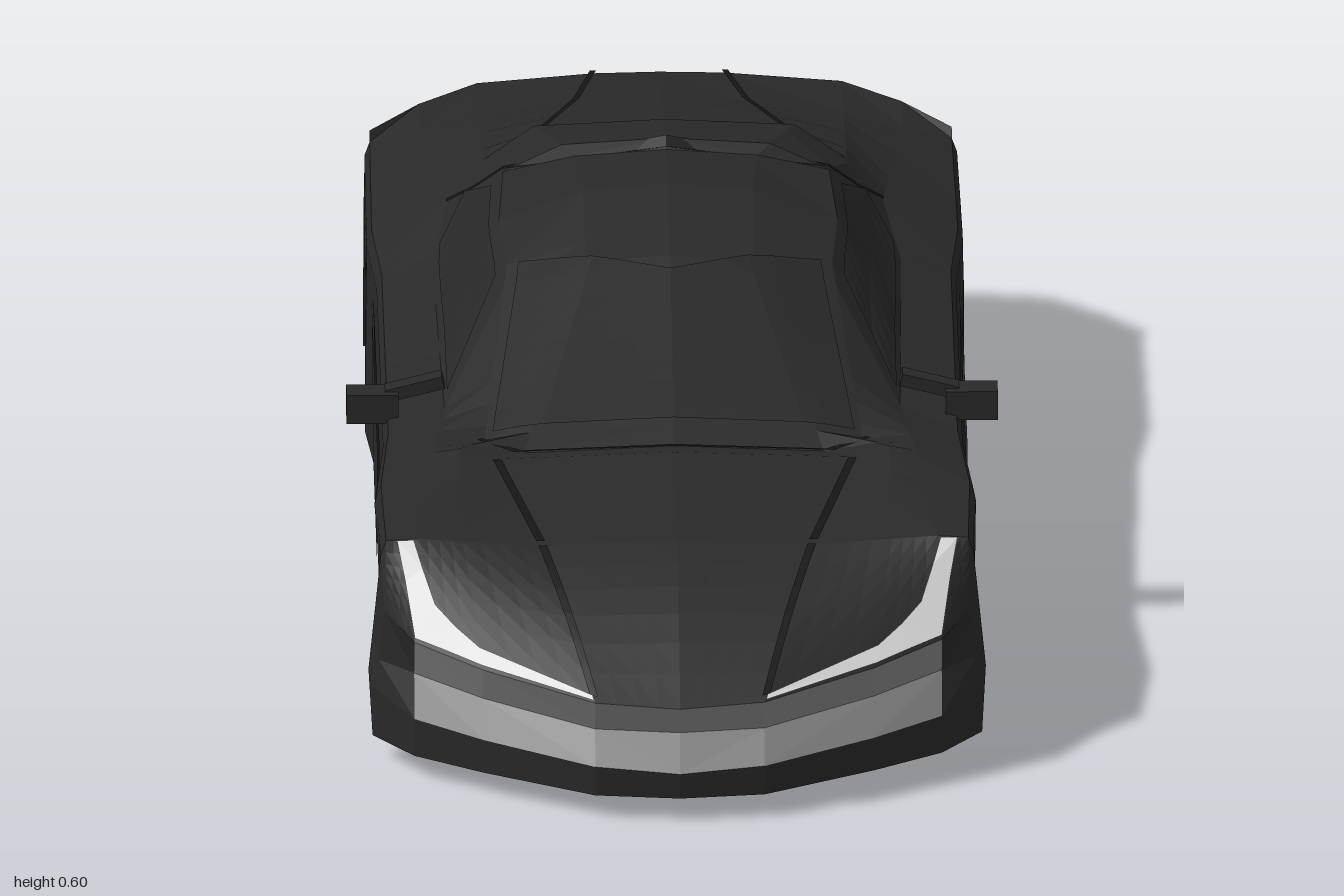
import * as THREE from 'three';

const mat = (name, color) => new THREE.MeshStandardMaterial({ name, color, side: THREE.DoubleSide });
const lerp = THREE.MathUtils.lerp;

// Lengthwise body lines as [z, x, y]
const ROOF = [[.705, .21, .342], [.47, .28, .39], [.42, .23, .38], [.05, .13, .545], [-.13, .13, .59],
  [-.33, .14, .565], [-.34, .16, .58], [-.49, .2, .55], [-.5, .2, .53], [-.82, .13, .455]];
const PILLAR = [[.705, .33, .35], [.45, .33, .4], [.38, .29, .385], [0, .25, .52], [-.13, .26, .54],
  [-.34, .25, .54], [-.45, .28, .5], [-.82, .28, .435]];
const BELT = [[.705, .4, .355], [.45, .37, .393], [.25, .35, .385], [-.28, .36, .41], [-.45, .335, .44], [-.82, .37, .412]];
const FENDER = [[.705, .447, .352], [.53, .452, .372], [.3, .437, .365], [-.3, .437, .383], [-.45, .45, .393], [-.82, .447, .39]];
const LINES = [ROOF, PILLAR, BELT, FENDER];
const AXLES = [.525, -.625];
const ARCH = [[.1749, .17], [.145, .29], [.06, .34], [0, .34]];

// Values of a [key, ...] list, sorted by falling key
function sample(list, key) {
  const i = Math.max(1, list.findIndex(p => p[0] <= key));
  const [a, b] = key < list[list.length - 1][0] ? list.slice(-2) : [list[i - 1], list[i]];
  const t = THREE.MathUtils.clamp((key - a[0]) / (b[0] - a[0]), 0, 1);
  return a.slice(1).map((v, k) => lerp(v, b[k + 1], t));
}
// Lower edge of the bodywork, rising over the wheels
function sill(z) {
  const c = AXLES.find(a => Math.abs(z - a) < .175);
  return c === undefined ? .06 : sample(ARCH, Math.abs(z - c))[0];
}
const mix = (a, b, t) => a.map((v, i) => lerp(v, b[i], t));
const along = (list, u) => {
  const i = Math.min(Math.floor(u), list.length - 2);
  return mix(list[i], list[i + 1], u - i);
};
const shift = (p, x, y, z) => [p[0] + x, p[1] + y, p[2] + z];
const range = (a, b, n) => Array.from({ length: n + 1 }, (_, i) => lerp(a, b, i / n));

// Half section: crown, roof, pillar, belt, fender, shoulder crease, sill
function section(z) {
  const s = LINES.map(l => [...sample(l, z), z]);
  const [x, y] = s[3];
  return [[0, s[0][1] + .01, z], ...s, [x + .008, y - .022, z], [x + .01, sill(z), z]];
}
const surf = (u, z) => along(section(z), u);

// Nose columns run in a bulge from the front wheel arch to the lip, tail columns to the deck edge
const lip = [[0, .19, 1], [.13, .195, .985], [.3, .212, .89], [.405, .23, .82], [.45, .25, .74]];
const edge = [[0, .43, -1], [.1, .43, -.995], [.28, .425, -.97], [.37, .42, -.9], [.447, .405, -.83]];
const noseAt = (u, t) => shift(mix(surf(u, .705), along(lip, u), t), 0, .018 * Math.sin(Math.PI * t) * (1 - u / 4), 0);
const deckAt = (u, t) => mix(surf(u, -.82), along(edge, u), t);
const tailAt = (u, y, dz) => {
  const p = along(edge, u);
  return [p[0], y, Math.min(p[2] + dz, -.82)];
};

// Flat-shaded sheet through rows of points, mirrored to both sides
function sheet(name, rows, material) {
  const pos = [];
  for (const s of [1, -1]) {
    const tri = (...ps) => (s > 0 ? ps : ps.reverse()).forEach(p => pos.push(p[0] * s, p[1], p[2]));
    for (let i = 0; i + 1 < rows.length; i++) for (let j = 0; j + 1 < rows[i].length; j++) {
      const a = rows[i][j], b = rows[i][j + 1], c = rows[i + 1][j + 1], d = rows[i + 1][j];
      tri(a, d, b);
      tri(b, d, c);
    }
  }
  const g = new THREE.BufferGeometry();
  g.setAttribute('position', new THREE.Float32BufferAttribute(pos, 3));
  return solid(name, g, material);
}
function solid(name, geometry, material, x = 0, y = 0, z = 0) {
  const g = geometry.index ? geometry.toNonIndexed() : geometry;
  g.computeVertexNormals();
  const m = new THREE.Mesh(g, material);
  m.name = name;
  m.position.set(x, y, z);
  return m;
}

export function createModel() {
  const paint = mat('body black', 0x292929), glass = mat('dark glass', 0x272727), trim = mat('black trim', 0x151515);
  const grille = mat('grille grey', 0x8a8a8a), lamp = mat('headlamp white', 0xdcdcdc), red = mat('tail lamp red', 0xaa3812);
  const panel = mat('panel grey', 0x5c5c5c), alloy = mat('wheel grey', 0x8f8f8f), tyreMat = mat('tyre black', 0x1e1e1e);
  const car = new THREE.Group();
  car.name = 'sportsCar';
  const add = (...a) => car.add(sheet(...a));

  // Main shell with wheel wells and floor
  const zs = LINES.flat().map(p => p[0]);
  for (const c of AXLES) for (const d of [.06, .145, .1749, .1751]) zs.push(c + d, c - d);
  const stations = [...new Set(zs)].sort((a, b) => b - a);
  add('bodyShell', stations.map(z => [...section(z), [.3, sill(z), z], [.3, .058, z], [0, .058, z]]), paint);

  // Nose: hood, recessed grille, chin and corners
  add('noseHood', range(0, 1, 6).map(t => range(0, 4, 16).map(u => noseAt(u, t))), paint);
  const mid = lip.map((p, i) => shift(p, 0, -.055 - .004 * i, -.04));
  const low = lip.map(([x, , z], i) => [x, .08 + .007 * i, z - .005]);
  mid[4] = [.458, .165, .73];
  low[4] = [.468, .12, .73];
  const chin = low.map(([x, , z]) => [x, .038, z - .005]);
  add('frontGrille', [lip, mid, low].map(r => r.slice(0, 4)), grille);
  add('bumperCorner', [lip, mid, low].map(r => r.slice(3)), paint);
  add('frontChin', [low, chin, chin.map(p => [p[0], .05, .7])], paint);
  add('bumperSide', [[lip, lip, mid, low, chin].map(r => r[4]),
    [surf(4, .705), surf(5, .705), [.468, .2, .705], [.474, .14, .705], [.466, .05, .705]]], paint);

  // Headlamps
  const lampRow = list => list.map(([u, t]) => shift(noseAt(u, t), .002, .006, .004));
  add('headlamp', [lampRow([[1, 1], [2, .985], [2.5, .98], [2.98, .98], [3.3, .5], [3.6, .04]]),
    lampRow([[1, .97], [2, .86], [2.35, .76], [2.65, .63], [2.85, .32], [3.05, .04]])], lamp);

  // Tail: deck with overhanging lip, recessed face and bumper
  const cols = range(0, 4, 4);
  const tailRow = (y, dz) => cols.map(u => tailAt(u, y, dz));
  add('rearDeck', [cols.map(u => surf(u, -.82)), edge, edge.map(p => shift(p, 0, -.03, 0)), tailRow(.372, .05)], paint);
  add('tailFace', [tailRow(.372, .05), tailRow(.235, .05), tailRow(.235, .012), tailRow(.07, .015),
    tailRow(.06, .2)], paint);
  add('tailSide', [[surf(4, -.82), surf(5, -.82), surf(6, -.82)], [.372, .235, .07].map(y => tailAt(4, y, 0))], paint);
  const plate = (name, ys, us, dz, m) => add(name, ys.map(y => us.map(u => tailAt(u, y, dz))), m);
  plate('tailLampStrip', [.36, .335], [0, 1, 2, 3, 3.85], .044, red);
  plate('tailPanelFrame', [.318, .242], [.1, 1, 2, 2.4], .045, trim);
  plate('tailPanel', [.309, .251], [.25, 1, 2, 2.3], .041, panel);
  plate('cornerVentFrame', [.222, .08], [2.1, 3, 3.6], .006, trim);
  plate('cornerVent', [.213, .09], [2.2, 3, 3.5], .001, panel);

  // Windscreen and side windows
  add('windscreen', range(0, 1, 8).map(t => range(0, 1.85, 6).map(u =>
    shift(surf(u, lerp(.37, .08 - .04 * u, t)), 0, .006, .003))), glass);
  add('sideWindow', [[2.12, .01, -.3], [2.5, .11, -.4], [2.88, .21, -.3]].map(([u, a, b]) =>
    range(a, b, 8).map(z => shift(surf(u, z), .004, .005, 0))), glass);

  // Panel seams: narrow ribbons, widened across (du) or lengthwise (dz)
  const seam = (name, list, at, du, dz) => add(name, list.map(([u, z]) =>
    [-1, 1].map(s => shift(at(u + s * du, z + s * dz), 0, .005, 0))), trim);
  const lengthwise = (a, b) => range(a, b, 6).map(v => [1, v]);
  seam('hoodSeam', lengthwise(.02, .98), noseAt, .04, 0);
  seam('hoodSeamRear', lengthwise(.7, .48), surf, .04, 0);
  seam('deckSeam', lengthwise(-.5, -.82), surf, .035, 0);
  seam('deckSeamRear', lengthwise(0, 1), deckAt, .035, 0);
  seam('screenBaseSeam', [[0, .435], [1, .43], [2, .395]], surf, 0, .006);
  seam('roofRearSeam', [[0, -.335], [2, -.335], [2.4, -.39], [3, -.45]], surf, 0, .006);

  // Door outline: dark border with a painted panel on top
  const door = (name, x, e, m) => add(name, [
    [[x, .333 - e, .3 - 2 * e], [x, .36 - e, -.28 + 2 * e]],
    [[x, .115 + e, .21 - e], [x, .145 + e, -.1 + e]]], m);
  door('doorSeam', .45, 0, trim);
  door('doorPanel', .453, .006, paint);

  // Side mirrors
  for (const s of [1, -1]) {
    const mirror = new THREE.Group();
    mirror.name = s > 0 ? 'leftMirror' : 'rightMirror';
    const arm = solid('mirrorArm', new THREE.BoxGeometry(.09, .02, .03), paint, s * .395, .41, .22);
    arm.rotation.z = s * -.25;
    mirror.add(arm, solid('mirrorHousing', new THREE.BoxGeometry(.08, .047, .045), paint, s * .46, .383, .226),
      solid('mirrorGlass', new THREE.BoxGeometry(.07, .039, .006), lamp, s * .46, .383, .202));
    car.add(mirror);
  }

  // Wheels: ten-sided tyre, tapered barrel, brake disc, five spokes and a hub
  const across = (name, geometry, m, x = 0) => {
    const w = solid(name, geometry, m, x);
    w.rotation.z = -Math.PI / 2;
    return w;
  };
  const turned = pts => new THREE.LatheGeometry(pts.map(p => new THREE.Vector2(...p)), 10);
  const hub = (name, r, x, m, sides = 5) => across(name, new THREE.CylinderGeometry(r, r, .02, sides), m, x);
  for (const z of AXLES) for (const s of [1, -1]) {
    const wheel = new THREE.Group();
    wheel.name = (z > 0 ? 'front' : 'rear') + (s > 0 ? 'Left' : 'Right') + 'Wheel';
    wheel.add(
      across('tyre', turned([[.128, .056], [.158, .067], [.173, .05], [.173, -.06], [.16, -.067], [.118, -.067]]), tyreMat),
      across('rimBarrel', turned([[.126, .052], [.092, -.06]]), alloy),
      hub('brakeDisc', .084, 0, trim, 10),
      hub('hubBase', .05, .044, tyreMat), hub('hub', .034, .05, lamp), hub('hubCap', .022, .053, alloy));
    for (let i = 0; i < 5; i++) {
      const spoke = new THREE.Group();
      spoke.name = 'spoke';
      spoke.rotation.x = i * Math.PI * 2 / 5;
      spoke.add(solid('spokeBar', new THREE.BoxGeometry(.018, .1, .046), tyreMat, .045, .075, 0));
      wheel.add(spoke);
    }
    wheel.position.set(s * .377, .1645, z);
    if (s < 0) wheel.rotation.y = Math.PI;
    car.add(wheel);
  }
  return car;
}
